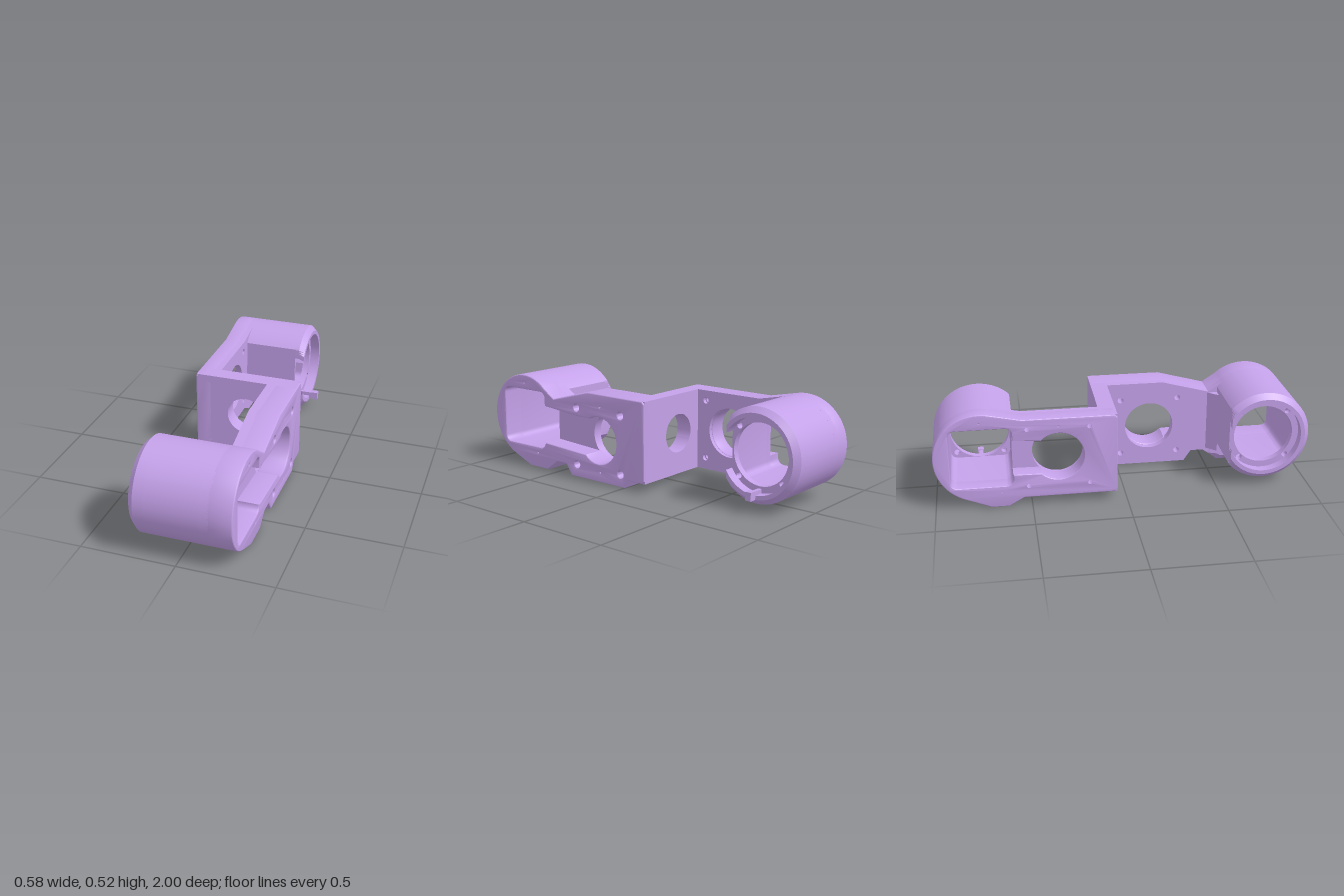
import * as THREE from 'three';
import { toCreasedNormals } from 'three/addons/utils/BufferGeometryUtils.js';

const R = 0.245, CY = 0.28, FRONT = 0.755, REAR = -0.755, HALF = 0.161, BORE = 0.163;

export function createModel() {
  const group = new THREE.Group();
  const material = new THREE.MeshStandardMaterial({ color: 0xc4a1e9, side: THREE.DoubleSide });

  const add = (name, geometry) => {
    const mesh = new THREE.Mesh(toCreasedNormals(geometry, 0.5), material);
    mesh.name = name;
    group.add(mesh);
    return mesh;
  };

  // Points [z, y] along an arc, angles in degrees
  const arc = (z, y, r, a0, a1, n = 48) => Array.from({ length: n + 1 }, (_, i) => {
    const a = THREE.MathUtils.degToRad(a0 + (a1 - a0) * i / n);
    return [z + r * Math.cos(a), y + r * Math.sin(a)];
  });
  const circle = (z, y, r, n = 48) => arc(z, y, r, 0, 360 * (n - 1) / n, n - 1);
  const four = (z, y, d, r) => [[-d, -d], [d, -d], [d, d], [-d, d]].map(([a, b]) => circle(z + a, y + b, r, 20));

  // Rounded square window, listed clockwise from the given corner (0 = +z +y, then clockwise)
  const CORNER = 0.035;
  const square = (z, first = 0) => [0, 1, 2, 3].flatMap((k) => {
    const q = (first + k) % 4, d = HALF - CORNER;
    return arc(z + (q < 2 ? d : -d), CY + (q % 3 ? -d : d), CORNER, 90 - 90 * q, -90 * q, 6);
  });

  // Slab with a side profile in (z, y), running from x0 to x1
  const slab = (name, outline, holes, x0, x1, bevel = 0, bevelSegments = 3) => {
    const vec = (pts) => pts.map(([z, y]) => new THREE.Vector2(-z, y));
    const shape = new THREE.Shape(vec(outline));
    shape.holes = holes.map((h) => new THREE.Path(vec(h)));
    const g = new THREE.ExtrudeGeometry(shape, {
      depth: x1 - x0 - 2 * bevel, bevelEnabled: bevel > 0, bevelSize: bevel,
      bevelThickness: bevel, bevelOffset: -bevel, bevelSegments,
    });
    g.translate(0, 0, x0 + bevel).rotateY(Math.PI / 2);
    return add(name, g);
  };

  // Barrel outline with its inner side cut flat
  const barrelOutline = (z, flat) => {
    const a = THREE.MathUtils.radToDeg(Math.acos(flat / R));
    return z > 0 ? arc(z, CY, R, 180 + a, 540 - a, 80) : arc(z, CY, R, a, 360 - a, 80);
  };

  // Open chamfered lip, interrupted where the flat side cuts the recess
  const lip = (name, z, flat, x0, x1, turn) => {
    const r = 0.195, gap = Math.acos(flat / r);
    const profile = [[R, x0], [R, x1 - 0.03], [0.217, x1], [r, x1], [r, x0]]
      .map(([a, b]) => new THREE.Vector2(a, b));
    const g = new THREE.LatheGeometry(profile, 96, gap, 2 * Math.PI - 2 * gap);
    g.rotateZ(-Math.PI / 2);
    const p = g.attributes.position;
    for (let i = 0; i < p.count; i++) p.setZ(i, Math.min(p.getZ(i), flat));
    if (turn) g.rotateY(Math.PI);
    g.translate(0, CY, z);
    add(name, g);
  };

  // Front link: arm outline, then pocket joining the motor window to the round hole
  const frontOutline = [
    ...arc(FRONT, CY, R, 132, -70, 64),
    [0.72, 0], [0.58, 0], [0.5, 0.06], [0.43, 0.06], [0.39, 0], [0, 0],
    [-0.03, 0.045], [-0.125, 0.045], [-0.14, 0.06], [-0.14, 0.47], [-0.125, 0.485],
    [0.26, 0.485], [0.52, 0.415],
  ];
  const frontPocket = [
    [0.594, 0.365], ...square(FRONT, 3),
    [0.594, 0.155], ...arc(0.185, 0.23, 0.13, -45, -300), [0.35, 0.343],
  ];
  const frontPins = [[0.755, 0.478], [0.655, 0.085], [0.17, 0.415], [0.17, 0.055]]
    .map(([z, y]) => circle(z, y, 0.002, 12));
  slab('frontArmOuter', frontOutline, [frontPocket, ...four(0.185, 0.23, 0.16, 0.02), ...frontPins], 0.155, 0.287, 0.008);
  slab('frontArmFloor', frontOutline,
    [square(FRONT), circle(0.185, 0.23, 0.135), ...four(0.185, 0.23, 0.16, 0.016)], 0.12, 0.17);

  // Rear link
  const rearOutline = [
    ...arc(REAR, CY, R, 77, 250, 64),
    [-0.71, 0], [-0.62, 0], [-0.54, 0.045], [-0.065, 0.045], [-0.05, 0.06],
    [-0.05, 0.47], [-0.065, 0.485], [-0.54, 0.485],
  ];
  const rearPocket = [
    [-0.594, 0.18], ...square(REAR, 1),
    [-0.594, 0.37], ...arc(-0.355, 0.27, 0.13, 135, -135),
  ];
  // The window is listed clockwise, so the rear pocket opens through its +z side
  rearPocket.splice(0, 1, [-0.594, 0.18]);
  const rearPins = [[-0.755, 0.478], [-0.655, 0.085], [-0.355, 0.44]].map(([z, y]) => circle(z, y, 0.002, 12));
  slab('rearArmOuter', rearOutline, [rearPocket, ...four(-0.355, 0.27, 0.16, 0.02), ...rearPins], -0.289, -0.19, 0.008);
  slab('rearArmFloor', rearOutline,
    [square(REAR), circle(-0.355, 0.27, 0.135), ...four(-0.355, 0.27, 0.16, 0.018)], -0.205, -0.17);

  // Motor barrels: square-bored body, screw ring and lip
  const frontBarrel = barrelOutline(FRONT, 0.185), rearBarrel = barrelOutline(REAR, 0.17);
  slab('frontBarrel', frontBarrel, [square(FRONT)], -0.16, 0.17);
  slab('frontScrewRing', frontBarrel, [circle(FRONT, CY, BORE - 0.002), ...four(FRONT, CY, 0.128, 0.016)], -0.19, -0.155);
  lip('frontLip', FRONT, 0.185, 0.18, 0.24, true);
  slab('rearBarrel', rearBarrel, [square(REAR)], -0.205, 0.1);
  slab('rearScrewRing', rearBarrel, [circle(REAR, CY, BORE - 0.002), ...four(REAR, CY, 0.128, 0.016)], 0.09, 0.125);
  lip('rearLip', REAR, 0.17, 0.115, 0.178, false);

  // Chamfered foot under the front barrel
  slab('frontFoot', [[0.84, 0.05], [0.72, 0], [0.58, 0], [0.53, 0.04], [0.58, 0.115], [0.8, 0.115]], [], 0.08, 0.2, 0.035, 1);

  // Gusset between front arm and barrel
  const wedge = new THREE.Shape([[0.12, -0.515], [0.15, -0.515], [0.15, -0.585], [0.07, -0.585], [0.07, -0.57]]
    .map(([x, y]) => new THREE.Vector2(x, y)));
  const gusset = new THREE.ExtrudeGeometry(wedge, { depth: 0.34, bevelEnabled: false });
  gusset.rotateX(-Math.PI / 2).translate(0, 0.07, 0);
  add('frontGusset', gusset);

  // Cross wall joining both arms
  const wall = new THREE.Shape([[-0.28, 0.045], [0.278, 0.045], [0.278, 0.485], [-0.28, 0.485]]
    .map(([x, y]) => new THREE.Vector2(x, y)));
  for (const [x, y, r] of [[0, 0.27, 0.105], [0.2, 0.365, 0.013], [0.2, 0.21, 0.013]]) {
    wall.holes.push(new THREE.Path().absarc(x, y, r, 0, Math.PI * 2, true));
  }
  const wallGeometry = new THREE.ExtrudeGeometry(wall, { depth: 0.09, bevelEnabled: false, curveSegments: 32 });
  wallGeometry.translate(0, 0, -0.14);
  add('crossWall', wallGeometry);

  // Cable tab at the rear barrel mouth
  for (const [x, w, h, d] of [[0.17, 0.11, 0.035, 0.02], [0.21, 0.036, 0.045, 0.032]]) {
    add('cableTab', new THREE.BoxGeometry(w, h, d).translate(x, 0.09, REAR));
  }

  return group;
}
